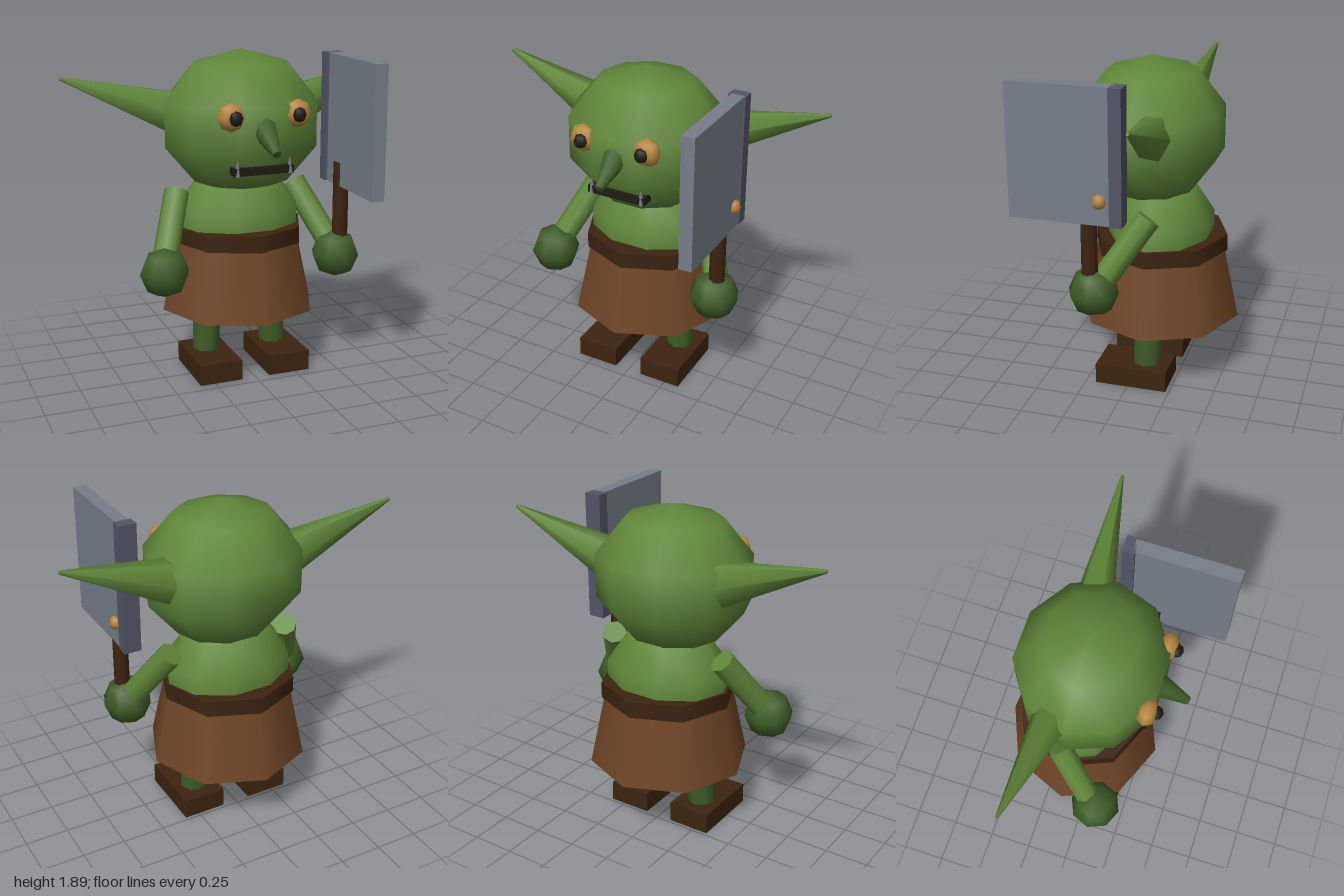
import * as THREE from 'three';

const mat = (name, color) => {
  const m = new THREE.MeshStandardMaterial({ color });
  m.name = name;
  return m;
};

export function createModel() {
  const skin = mat('light green skin', 0x5f8639);
  const darkSkin = mat('dark green skin', 0x3e5c26);
  const leather = mat('brown leather', 0x6f4526);
  const darkLeather = mat('dark brown', 0x3c2410);
  const amber = mat('amber', 0xb5853c);
  const black = mat('near black', 0x1f1c10);
  const steel = mat('steel', 0x767e89);
  const darkSteel = mat('dark steel', 0x525566);

  const model = new THREE.Group();
  model.name = 'goblin';

  const add = (name, geometry, material, x = 0, y = 0, z = 0) => {
    const mesh = new THREE.Mesh(geometry, material);
    mesh.name = name;
    mesh.position.set(x, y, z);
    model.add(mesh);
    return mesh;
  };
  const box = (name, material, w, h, d, x, y, z) =>
    add(name, new THREE.BoxGeometry(w, h, d), material, x, y, z);
  const ball = (name, material, rx, ry, rz, x, y, z, sides = 8, rings = 4) =>
    add(name, new THREE.SphereGeometry(1, sides, rings).scale(rx, ry, rz), material, x, y, z);
  // Tapered rod from point a to point b; depth flattens its cross-section along z
  const rod = (name, material, a, b, ra, rb, sides = 8, depth = 1) => {
    const from = new THREE.Vector3(...a), to = new THREE.Vector3(...b);
    const dir = to.clone().sub(from);
    const geometry = new THREE.CylinderGeometry(rb, ra, dir.length(), sides).scale(1, 1, depth);
    const mesh = add(name, geometry, material);
    mesh.position.copy(from).add(to).multiplyScalar(0.5);
    mesh.quaternion.setFromUnitVectors(new THREE.Vector3(0, 1, 0), dir.normalize());
    return mesh;
  };

  // Body and clothing
  ball('torso', skin, 0.39, 0.37, 0.315, 0, 0.866, -0.115, 10, 5);
  add('skirt', new THREE.CylinderGeometry(0.365, 0.465, 0.46, 8), leather, 0, 0.61, -0.112);
  add('belt', new THREE.CylinderGeometry(0.39, 0.39, 0.095, 8), darkLeather, 0, 0.833, -0.113);

  // Head and face
  ball('head', skin, 0.475, 0.412, 0.43, 0, 1.482, -0.055, 10, 5);
  rod('nose', darkSkin, [0, 1.515, 0.27], [0, 1.39, 0.485], 0.08, 0.024);
  box('mouth', black, 0.35, 0.045, 0.08, 0, 1.267, 0.27);

  for (const s of [1, -1]) {
    const side = s > 0 ? 'left' : 'right';
    rod(side + 'Ear', skin, [s * 0.36, 1.535, -0.155], [s * 0.997, 1.752, -0.207], 0.135, 0.01, 6, 0.78);
    ball(side + 'Eye', amber, 0.082, 0.08, 0.06, s * 0.192, 1.572, 0.31);
    ball(side + 'Pupil', black, 0.04, 0.042, 0.035, s * 0.183, 1.572, 0.358);
    rod(side + 'Tusk', steel, [s * 0.155, 1.245, 0.295], [s * 0.152, 1.325, 0.305], 0.022, 0.004, 6);

    // Limbs
    rod(side + 'Arm', skin, [s * 0.365, 1.08, -0.135], [s * 0.525, 0.71, 0.11], 0.072, 0.072);
    ball(side + 'Hand', darkSkin, 0.143, 0.143, 0.143, s * 0.525, 0.69, 0.13);
    rod(side + 'Leg', darkSkin, [s * 0.212, 0.1, -0.085], [s * 0.195, 0.46, -0.1], 0.08, 0.092);
    box(side + 'Shoe', darkLeather, 0.254, 0.12, 0.42, s * 0.212, 0.06, -0.02);
  }

  // Cleaver held in the left hand
  rod('cleaverHandle', darkLeather, [0.545, 0.68, 0.145], [0.545, 1.24, 0.145], 0.047, 0.047);
  box('cleaverBlade', steel, 0.076, 0.75, 0.58, 0.558, 1.48, 0.287);
  box('cleaverSpine', darkSteel, 0.1, 0.75, 0.07, 0.556, 1.48, -0.022);
  ball('cleaverRivet', amber, 0.042, 0.042, 0.042, 0.593, 1.24, 0.07);

  return model;
}
